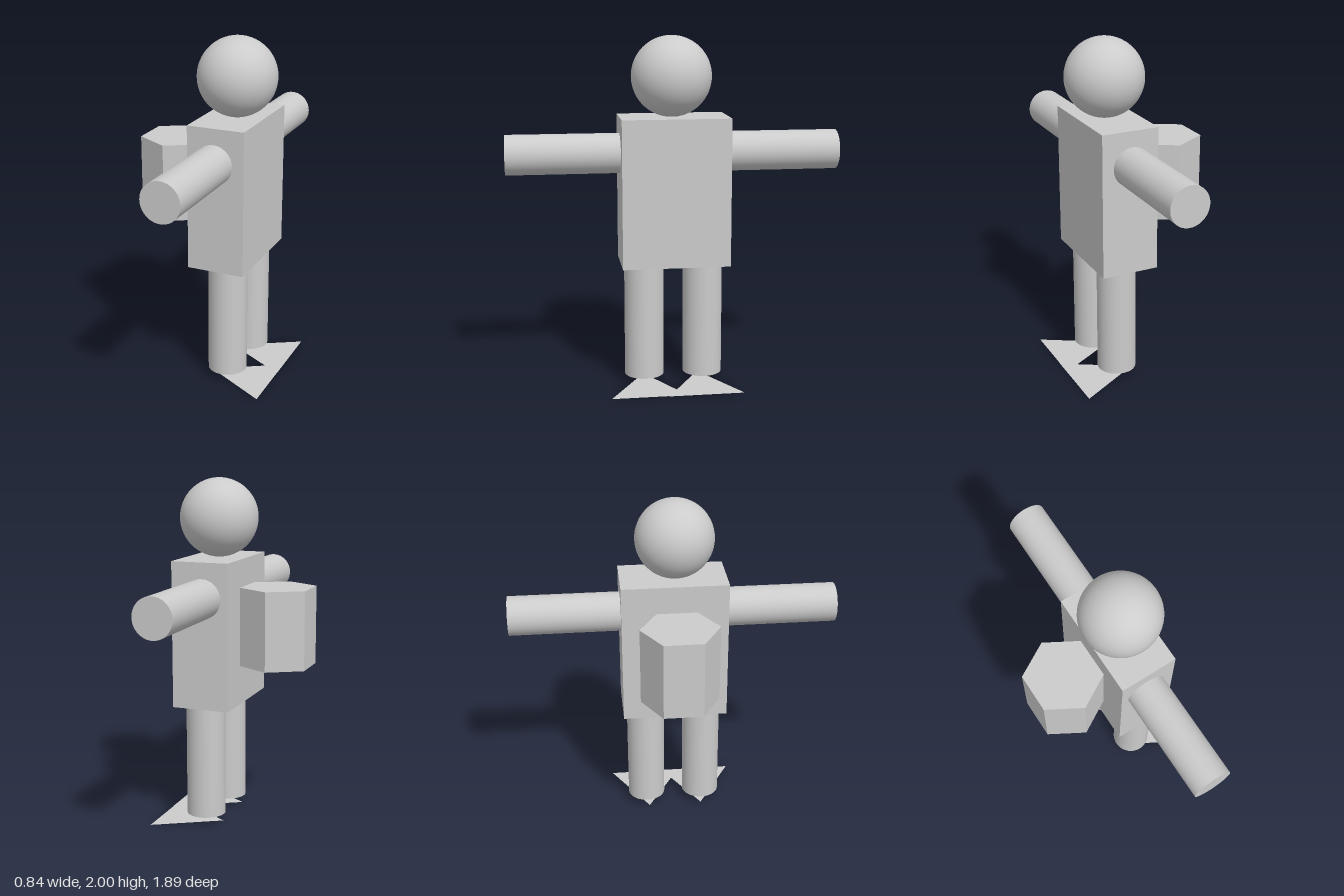
import * as THREE from 'three';

export function createModel() {
  const group = new THREE.Group();
  const smooth = new THREE.MeshStandardMaterial({ color: 0xcccccc });
  const faceted = new THREE.MeshStandardMaterial({ color: 0xcccccc, flatShading: true });
  const sheet = new THREE.MeshStandardMaterial({ color: 0xcccccc, side: THREE.DoubleSide });

  function add(name, geometry, material, x, y, z) {
    const mesh = new THREE.Mesh(geometry, material);
    mesh.name = name;
    mesh.position.set(x, y, z);
    group.add(mesh);
    return mesh;
  }

  // Round head resting on a box torso
  add('head', new THREE.SphereGeometry(0.226, 48, 32), smooth, 0.13, 1.774, 0.01);
  add('torso', new THREE.BoxGeometry(0.336, 0.84, 0.612), faceted, 0.125, 1.13, -0.002);

  // Hexagonal backpack, its flat side against the torso
  add('backpack', new THREE.CylinderGeometry(0.225, 0.225, 0.454, 6), faceted, -0.23, 1.163, 0.006);

  // Limbs and feet, mirrored across z
  for (const [label, s] of [['front', 1], ['back', -1]]) {
    const arm = add(label + 'Arm', new THREE.CylinderGeometry(0.113, 0.113, 0.66, 48), smooth, 0.113, 1.345, s * 0.613 - 0.002);
    arm.rotation.x = Math.PI / 2;

    add(label + 'Leg', new THREE.CylinderGeometry(0.113, 0.113, 0.67, 48), smooth, 0.148, 0.385, s * 0.17 + 0.002);

    // Flat triangular foot, tip under the leg and wide edge forward
    const foot = new THREE.CircleGeometry(0.25, 3, Math.PI).rotateX(-Math.PI / 2);
    add(label + 'Foot', foot, sheet, 0.295, s > 0 ? 0.002 : 0, s * 0.162 + 0.006);
  }

  return group;
}
